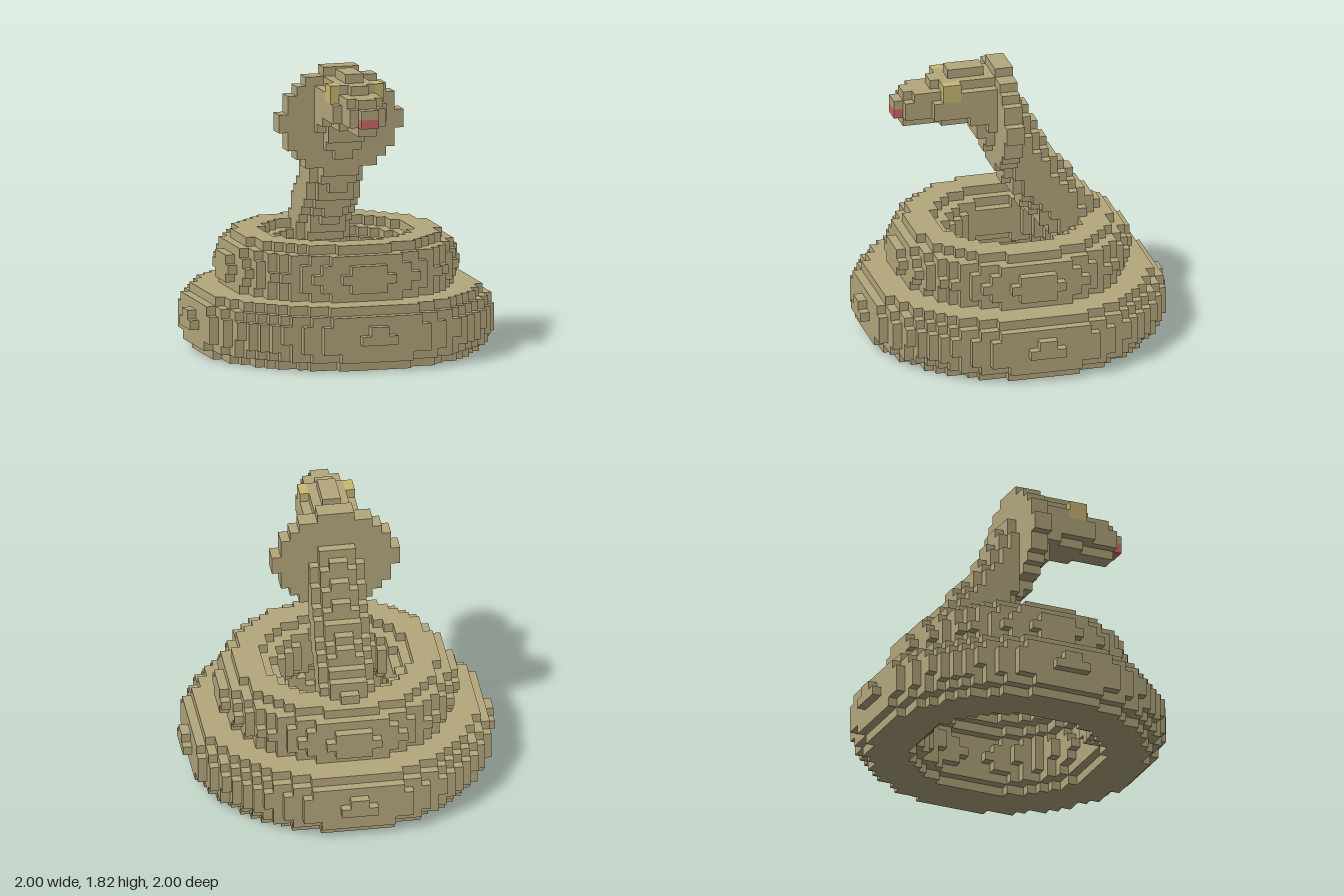
import * as THREE from 'three';

// One block; the whole model is carved on a grid of these
const V = 2 / 34;

const flat = (name, color) => {
  const m = new THREE.MeshStandardMaterial({ color });
  m.name = name;
  return m;
};

// Ring-shaped coil with a round cross-section
const coil = (R, r, cy) => (x, y, z) => Math.hypot(Math.hypot(x, z) - R, y - cy) < r;

// Neck: a tube rising from the back of the upper coil to the hood
const neckPath = new THREE.CatmullRomCurve3([
  [9.5, -9.2], [13.5, -6], [16.5, -3.6], [19.5, -1.5], [22.5, 0], [25, 1.3],
].map(([y, z]) => new THREE.Vector3(0, y, z))).getPoints(60);
const inNeck = (x, y, z) => neckPath.some((p) => Math.hypot(x, y - p.y, z - p.z) < 3.05);

// Head: half width for each row and depth, narrowing towards the snout
function inHead(x, y, z) {
  if (z < 2 || z > 13) return false;
  const row = Math.floor(y);
  let half = 0;
  if (row === 30) half = z > 3 && z < 7 ? 1 : 0;
  else if (row === 29) half = z < 8 ? 2 : z < 9 ? 1 : 0;
  else if (row === 28) half = z < 8 ? 3 : z < 11 ? 2 : z < 12 ? 1 : 0;
  else if (row === 27 || row === 26) half = z < 9 ? 3 : z < 12 ? 2 : 1;
  else if (row === 25) half = z < 5 ? 3 : z < 8 ? 2 : z < 12 ? 1 : 0;
  return Math.abs(x) < half;
}

// Mesh of the exposed faces of one part's blocks
function blockMesh(name, cells, filled, material) {
  const pos = [], nor = [], idx = [];
  for (const c of cells) {
    for (let a = 0; a < 3; a++) {
      for (const s of [1, -1]) {
        const next = [...c];
        next[a] += s;
        if (filled.has(next.join())) continue;
        const base = pos.length / 3;
        const b = (a + 1) % 3, d = (a + 2) % 3;
        for (const [u, w] of [[0, 0], [1, 0], [1, 1], [0, 1]]) {
          const p = [...c], n = [0, 0, 0];
          p[a] += s > 0 ? 1 : 0;
          p[b] += u;
          p[d] += w;
          n[a] = s;
          pos.push(p[0] * V, p[1] * V, p[2] * V);
          nor.push(...n);
        }
        const order = s > 0 ? [0, 1, 2, 0, 2, 3] : [0, 2, 1, 0, 3, 2];
        idx.push(...order.map((i) => base + i));
      }
    }
  }
  const geo = new THREE.BufferGeometry();
  geo.setAttribute('position', new THREE.Float32BufferAttribute(pos, 3));
  geo.setAttribute('normal', new THREE.Float32BufferAttribute(nor, 3));
  geo.setIndex(idx);
  const mesh = new THREE.Mesh(geo, material);
  mesh.name = name;
  return mesh;
}

export function createModel() {
  const scales = flat('olive scales', 0xb5a87e);
  const eyeYellow = flat('eye yellow', 0xc9ba74);
  const tongueRed = flat('tongue red', 0xcf6a6a);

  const lower = coil(12.62, 4, 3.65);
  // Earlier parts claim a block before later ones
  const parts = [
    ['tongue', tongueRed, (x, y, z) => z > 12 && z < 13 && y > 26 && y < 27 && Math.abs(x) < 1],
    ['eyes', eyeYellow, (x, y, z) =>
      Math.abs(x) > 2 && Math.abs(x) < 3 && y > 28 && y < 30 && z > 6 && z < 8],
    ['head', scales, inHead],
    ['hood', scales, (x, y, z) => z > 0 && z < 2 && Math.hypot(x / 6.7, (y - 25) / 5.9) < 1],
    ['neck', scales, inNeck],
    ['upperCoil', scales, coil(9.5, 3.35, 9.5)],
    ['lowerCoil', scales, (x, y, z) => y < 7 && lower(x, y, z)],
  ].map(([name, material, inside]) => ({ name, material, inside, cells: [] }));

  const filled = new Set();
  for (let x = -17; x < 17; x++) {
    for (let y = 0; y < 31; y++) {
      for (let z = -17; z < 17; z++) {
        const part = parts.find((p) => p.inside(x + 0.5, y + 0.5, z + 0.5));
        if (!part) continue;
        part.cells.push([x, y, z]);
        filled.add([x, y, z].join());
      }
    }
  }

  const group = new THREE.Group();
  group.name = 'coiledSnake';
  for (const p of parts) group.add(blockMesh(p.name, p.cells, filled, p.material));
  return group;
}
